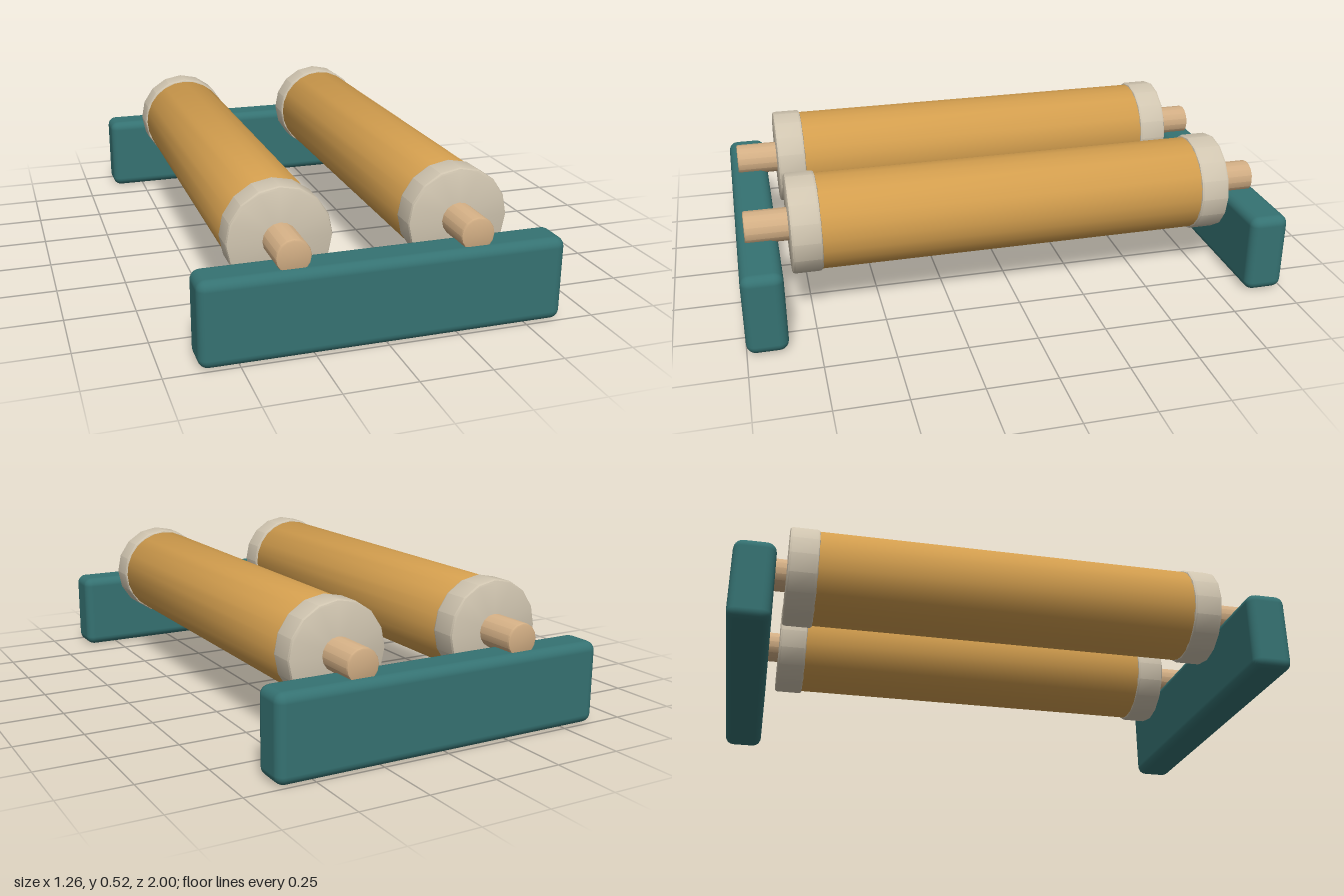
import * as THREE from 'three';
import { toCreasedNormals } from 'three/addons/utils/BufferGeometryUtils.js';
import { RoundedBoxGeometry } from 'three/addons/geometries/RoundedBoxGeometry.js';

const material = (name, color) => {
  const m = new THREE.MeshStandardMaterial({ color });
  m.name = name;
  return m;
};

// Solid cylinder along z with bevelled rims
function bevelledRod(radius, length, bevel, sides) {
  const h = length / 2;
  const profile = [
    [0, -h], [radius - bevel, -h], [radius - bevel * 0.3, -h + bevel * 0.3], [radius, -h + bevel],
    [radius, h - bevel], [radius - bevel * 0.3, h - bevel * 0.3], [radius - bevel, h], [0, h],
  ].map(([x, y]) => new THREE.Vector2(x, y));
  const geometry = new THREE.LatheGeometry(profile, sides);
  geometry.rotateX(Math.PI / 2);
  return toCreasedNormals(geometry, 0.5);
}

export function createModel() {
  const model = new THREE.Group();
  model.name = 'rollerStand';

  const teal = material('teal', 0x357272);
  const amber = material('amber', 0xd39e4e);
  const cream = material('cream', 0xd0c5b0);
  const wood = material('lightWood', 0xd2ae84);

  const add = (parent, name, geometry, mat, x, y, z) => {
    const mesh = new THREE.Mesh(geometry, mat);
    mesh.name = name;
    mesh.position.set(x, y, z);
    parent.add(mesh);
  };

  // End rails
  const rail = new RoundedBoxGeometry(1.265, 0.3, 0.146, 3, 0.034);
  add(model, 'frontRail', rail, teal, 0, 0.15, 0.927);
  add(model, 'backRail', rail, teal, 0, 0.15, -0.927);

  // Two rollers, each with an axle and two end collars
  const drum = bevelledRod(0.174, 1.46, 0.005, 24);
  const collar = bevelledRod(0.182, 0.11, 0.01, 16);
  const axle = bevelledRod(0.06, 1.94, 0.007, 16);
  for (const [name, x] of [['leftRoller', 0.316], ['rightRoller', -0.316]]) {
    const roller = new THREE.Group();
    roller.name = name;
    roller.position.set(x, 0.337, 0);
    add(roller, 'drum', drum, amber, 0, 0, 0);
    add(roller, 'axle', axle, wood, 0, 0, 0);
    add(roller, 'frontCollar', collar, cream, 0, 0, 0.76);
    add(roller, 'backCollar', collar, cream, 0, 0, -0.76);
    model.add(roller);
  }
  return model;
}
